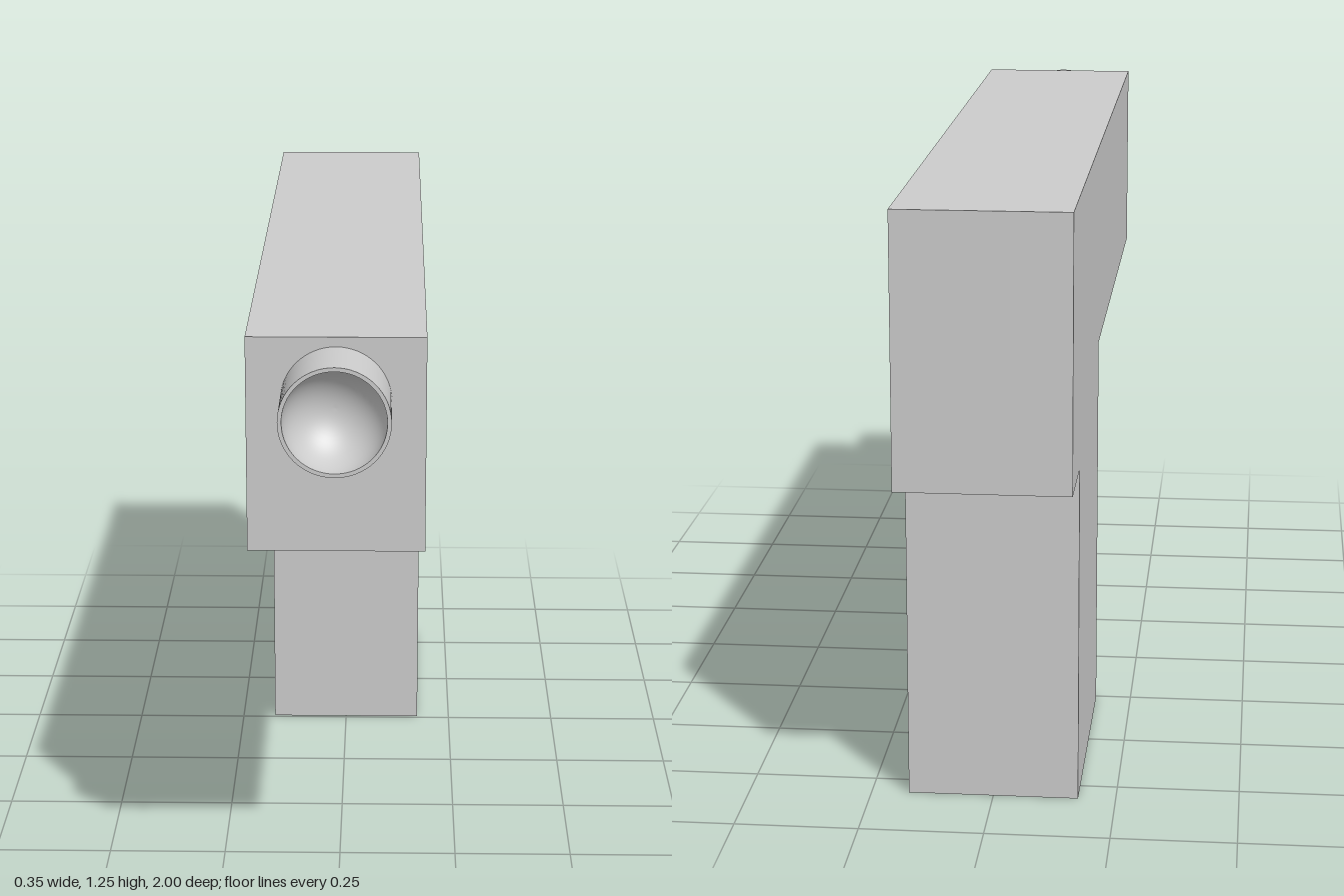
import * as THREE from 'three';

const WIDTH = 0.347;
const FRONT = 0.852; // z of the body's front face
const material = new THREE.MeshStandardMaterial({ color: 0xcccccc });

// Side profile (z, y) extruded across the width
function makeBody() {
  const profile = [
    [-1, 0.7], [-0.815, 0.7], [-0.815, 0], [-0.257, 0],
    [-0.257, 0.82], [FRONT, 0.82], [FRONT, 1.25], [-1, 1.25],
  ];
  const shape = new THREE.Shape(profile.map(([z, y]) => new THREE.Vector2(z, y)));
  const geometry = new THREE.ExtrudeGeometry(shape, { depth: WIDTH, bevelEnabled: false });
  geometry.translate(0, 0, -WIDTH / 2);
  geometry.rotateY(-Math.PI / 2);
  const mesh = new THREE.Mesh(geometry, material);
  mesh.name = 'body';
  return mesh;
}

// Surface turned around the z axis from (radius, z) points
function turned(name, points) {
  const geometry = new THREE.LatheGeometry(points.map(([r, z]) => new THREE.Vector2(r, z)), 64);
  geometry.rotateX(Math.PI / 2);
  const mesh = new THREE.Mesh(geometry, material);
  mesh.name = name;
  return mesh;
}

// Short round muzzle with a rounded hollow; separate surfaces keep the rim sharp
function makeMuzzle() {
  const outer = 0.107, inner = 0.099;
  const bowl = [];
  for (let i = 0; i <= 16; i++) {
    const a = (i / 16) * Math.PI / 2;
    bowl.push([i === 16 ? 0 : inner * Math.cos(a), 1 - inner * Math.sin(a)]);
  }
  const muzzle = new THREE.Group();
  muzzle.name = 'muzzle';
  muzzle.add(
    turned('muzzleWall', [[outer, FRONT], [outer, 1]]),
    turned('muzzleRim', [[outer, 1], [inner, 1]]),
    turned('muzzleHollow', bowl),
  );
  muzzle.position.y = 1.124;
  return muzzle;
}

export function createModel() {
  const model = new THREE.Group();
  model.name = 'model';
  model.add(makeBody(), makeMuzzle());
  return model;
}
